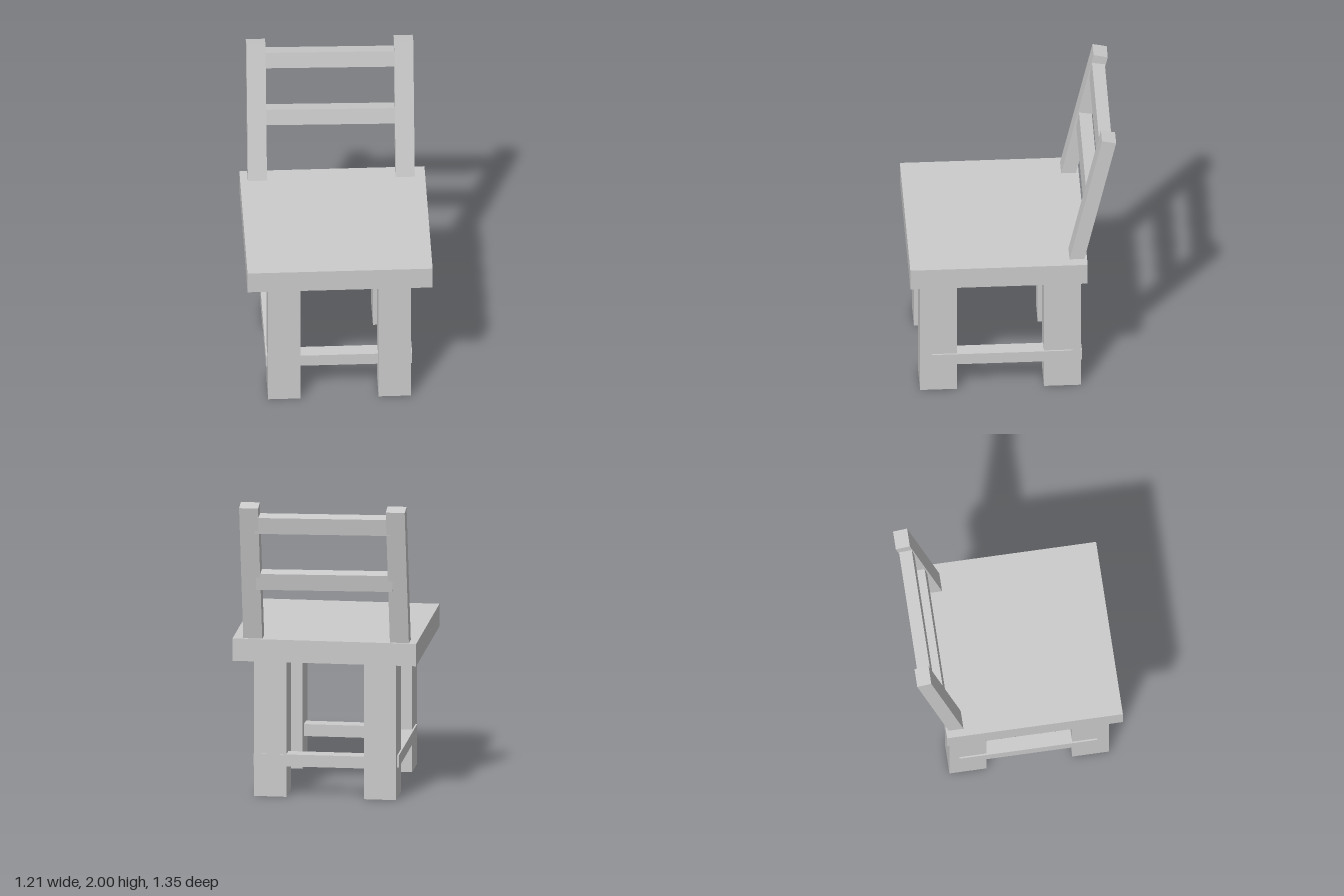
import * as THREE from 'three';

export function createModel() {
  const group = new THREE.Group();
  const material = new THREE.MeshStandardMaterial({ color: 0xcccccc, flatShading: true });

  // Adds a named box with the given size, centre and rotation
  function box(name, size, centre, rotation = [0, 0, 0]) {
    const mesh = new THREE.Mesh(new THREE.BoxGeometry(...size), material);
    mesh.name = name;
    mesh.position.set(...centre);
    mesh.rotation.set(...rotation);
    group.add(mesh);
    return mesh;
  }

  // Seat slab
  box('seat', [1.21, 0.15, 1.16], [0, 0.985, 0.095]);

  // Legs and side stretchers, mirrored left and right
  for (const [side, s] of [['left', 1], ['right', -1]]) {
    box(`${side}FrontLeg`, [0.212, 0.92, 0.243], [s * 0.361, 0.46, 0.482]);
    box(`${side}BackLeg`, [0.212, 0.92, 0.243], [s * 0.361, 0.46, -0.328]);
    box(`${side}Stretcher`, [0.098, 0.08, 0.909], [s * 0.429, 0.245, 0.07]);
  }

  // Front and back stretchers; the back one sits slightly askew
  box('frontStretcher', [0.84, 0.08, 0.1], [0, 0.245, 0.474]);
  box('backStretcher', [0.92, 0.08, 0.1], [0.01, 0.245, -0.4], [0, 0.01, 0]);

  // Leaning back posts
  const lean = -0.222;
  box('leftBackPost', [0.125, 1.05, 0.095], [0.474, 1.478, -0.513], [lean, 0, 0]);
  box('rightBackPost', [0.125, 1.05, 0.095], [-0.492, 1.478, -0.513], [lean, 0, 0]);

  // Slats between the posts, slightly lower on the left
  for (const [name, y, z] of [['upperSlat', 1.87, -0.604], ['lowerSlat', 1.475, -0.519]]) {
    box(name, [0.9, 0.112, 0.085], [-0.009, y, z], [-0.16, 0, -0.015]);
  }

  return group;
}
